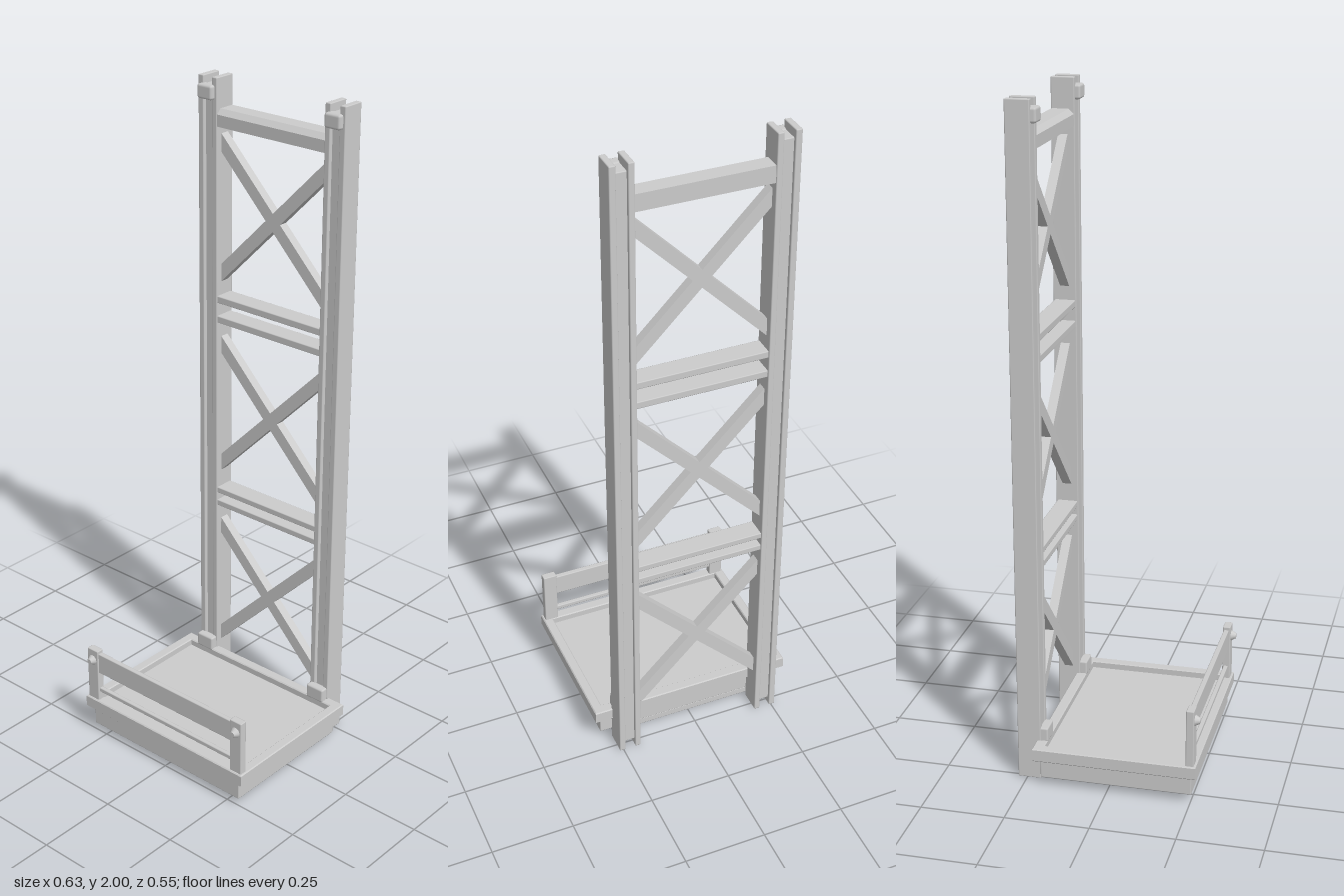
import * as THREE from 'three';
import { RoundedBoxGeometry } from 'three/addons/geometries/RoundedBoxGeometry.js';

const mat = new THREE.MeshStandardMaterial({ color: 0xcccccc });

function add(parent, name, geometry) {
  const m = new THREE.Mesh(geometry, mat);
  m.name = name;
  parent.add(m);
  return m;
}

// Softly bevelled block given by its limits on each axis
function block(parent, name, [x0, x1], [y0, y1], [z0, z1], bevel = 0.003) {
  const g = new RoundedBoxGeometry(x1 - x0, y1 - y0, z1 - z0, 1, bevel);
  g.translate((x0 + x1) / 2, (y0 + y1) / 2, (z0 + z1) / 2);
  return add(parent, name, g);
}

const mirrored = (s, a, b) => (s > 0 ? [a, b] : [-b, -a]);

function polygon(points) {
  return new THREE.Shape(points.map(([x, y]) => new THREE.Vector2(x, y)));
}

// Cross-section in (z, y) swept along x and centred on x = 0
function sweepX(points, width) {
  const g = new THREE.ExtrudeGeometry(polygon(points.map(([z, y]) => [-z, y])), { depth: width, bevelEnabled: false });
  g.translate(0, 0, -width / 2);
  g.rotateY(Math.PI / 2);
  return g;
}

function buildMast() {
  const mast = new THREE.Group();
  mast.name = 'mast';

  // Two H-section rails with a clamp at the top of each
  for (const s of [1, -1]) {
    block(mast, 'innerFlange', mirrored(s, 0.193, 0.211), [0, 2], [-0.278, -0.208]);
    block(mast, 'outerFlange', mirrored(s, 0.243, 0.262), [0, 2], [-0.278, -0.208]);
    block(mast, 'railWeb', mirrored(s, 0.208, 0.246), [0.025, 1.975], [-0.268, -0.22]);
    block(mast, 'topClamp', mirrored(s, 0.2, 0.255), [1.935, 1.978], [-0.225, -0.192], 0.008);
  }

  // Top beam with a chamfered front
  add(mast, 'topBeam', sweepX([[-0.275, 1.86], [-0.21, 1.86], [-0.21, 1.895], [-0.225, 1.91], [-0.275, 1.91]], 0.39));

  // Paired cross plates
  for (const [y0, y1] of [[1.325, 1.347], [1.262, 1.284], [0.692, 0.711], [0.648, 0.667]]) {
    block(mast, 'crossPlate', [-0.196, 0.196], [y0, y1], [-0.273, -0.211]);
  }

  // Diagonal braces, cut vertically where they meet the rails
  const w = 0.198, half = 0.027;
  for (const y of [1.613, 0.99, 0.373]) {
    for (const s of [1, -1]) {
      const a = y - s * 0.202, b = y + s * 0.202;
      const shape = polygon([[-w, a - half], [w, b - half], [w, b + half], [-w, a + half]]);
      const g = new THREE.ExtrudeGeometry(shape, { depth: 0.028, bevelEnabled: false });
      g.translate(0, 0, -0.257);
      add(mast, 'diagonalBrace', g);
    }
  }
  return mast;
}

function buildPlatform() {
  const platform = new THREE.Group();
  platform.name = 'platform';

  // Raised rim with an open middle
  const rim = polygon([[-0.314, -0.264], [0.314, -0.264], [0.314, 0.217], [-0.314, 0.217]]);
  rim.holes.push(polygon([[-0.29, -0.238], [-0.29, 0.191], [0.29, 0.191], [0.29, -0.238]]));
  const g = new THREE.ExtrudeGeometry(rim, {
    depth: 0.034, bevelEnabled: true, bevelSize: 0.003, bevelThickness: 0.003, bevelSegments: 1,
  });
  g.rotateX(-Math.PI / 2);
  g.translate(0, 0.088, 0);
  add(platform, 'rim', g);

  // Floor body and base plate
  block(platform, 'floor', [-0.296, 0.296], [0.024, 0.104], [-0.2, 0.252]);
  block(platform, 'basePlate', [-0.212, 0.212], [0.004, 0.026], [-0.2, 0.212]);

  // Clamps holding the platform to the rails
  for (const s of [1, -1]) {
    block(platform, 'railClamp', mirrored(s, 0.196, 0.259), [0.12, 0.165], [-0.215, -0.186], 0.006);
  }
  return platform;
}

function buildGuard() {
  const guard = new THREE.Group();
  guard.name = 'guard';
  block(guard, 'guardBoard', [-0.272, 0.272], [0.222, 0.29], [0.24, 0.256]);
  block(guard, 'lowerBar', [-0.272, 0.272], [0.153, 0.167], [0.241, 0.255]);
  for (const s of [1, -1]) {
    block(guard, 'guardPost', mirrored(s, 0.268, 0.311), [0.115, 0.3], [0.237, 0.261]);
    // Domed bolt head on each post
    const bolt = new THREE.CylinderGeometry(0.008, 0.017, 0.016, 12);
    bolt.rotateX(Math.PI / 2);
    add(guard, 'bolt', bolt).position.set(s * 0.29, 0.264, 0.268);
  }
  return guard;
}

export function createModel() {
  const model = new THREE.Group();
  model.name = 'liftMast';
  model.add(buildMast(), buildPlatform(), buildGuard());
  return model;
}
